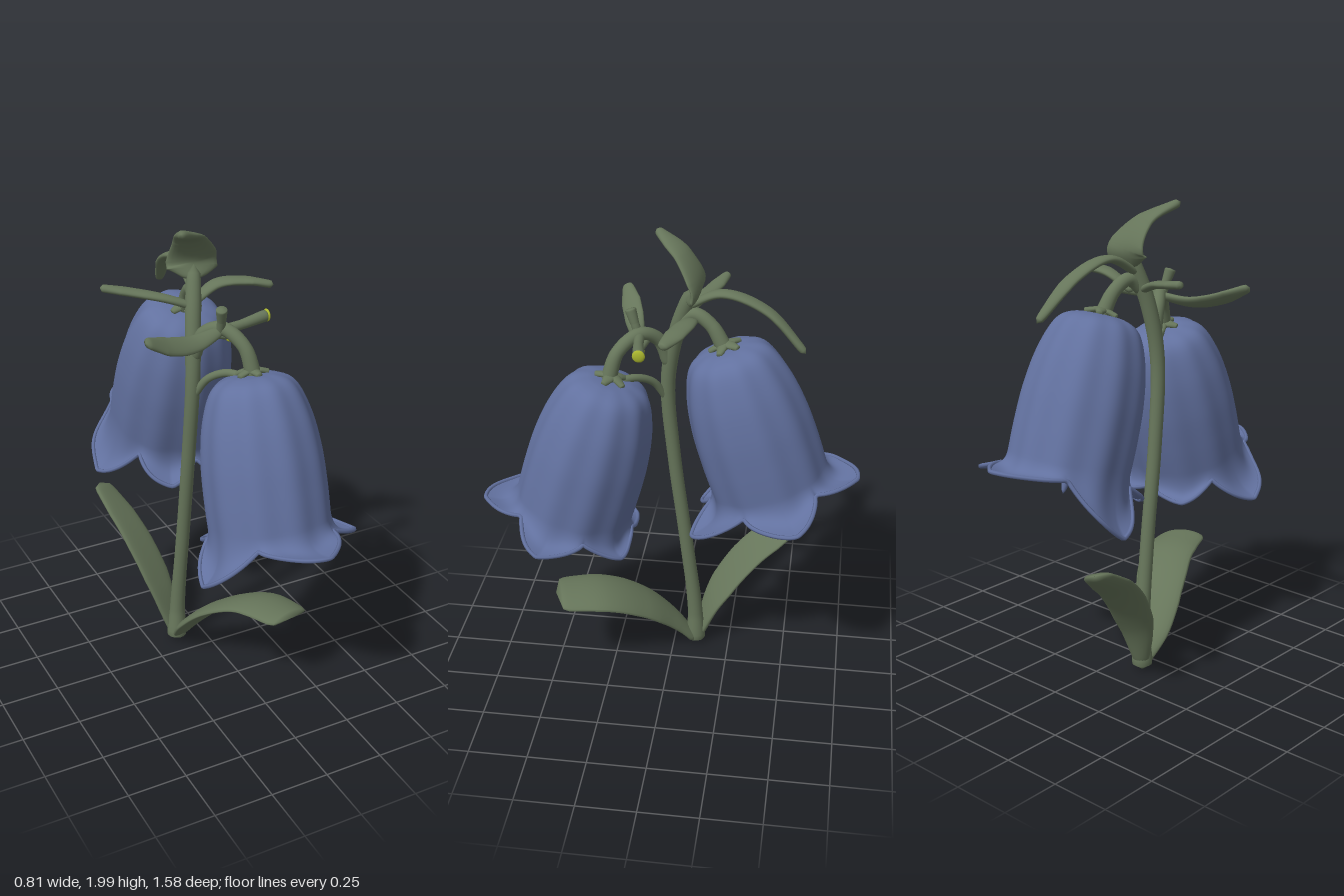
import * as THREE from 'three';
import { ParametricGeometry } from 'three/addons/geometries/ParametricGeometry.js';

const material = (name, color) =>
  new THREE.MeshStandardMaterial({ name, color, side: THREE.DoubleSide });

// Linear lookup in a short list, t from 0 to 1
function sample(list, t) {
  const f = t * (list.length - 1);
  const i = Math.min(Math.floor(f), list.length - 2);
  return THREE.MathUtils.lerp(list[i], list[i + 1], f - i);
}

// Sweeps an oval section along a curve. widths are half-widths along the path;
// thickness is a half-thickness, or 0 for a round section; cup lifts the edges.
function sweep(name, mat, points, widths, { thickness = 0, side = [1, 0, 0], cup = 0 } = {}) {
  const curve = new THREE.CatmullRomCurve3(points.map(p => new THREE.Vector3(...p)));
  const sideDir = new THREE.Vector3(...side);
  const S = new THREE.Vector3(), N = new THREE.Vector3();
  const geometry = new ParametricGeometry((u, v, out) => {
    const T = curve.getTangent(v);
    S.copy(sideDir).addScaledVector(T, -sideDir.dot(T)).normalize();
    N.crossVectors(T, S);
    const end = Math.max(0.02, Math.sqrt(Math.max(0, 1 - Math.pow(Math.abs(2 * v - 1), 30))));
    const w = sample(widths, v) * end;
    const h = thickness ? Math.min(w, thickness * end) : w;
    const a = u * Math.PI * 2;
    out.copy(curve.getPoint(v))
      .addScaledVector(S, w * Math.cos(a))
      .addScaledVector(N, h * Math.sin(a) + cup * w * Math.cos(a) ** 2);
  }, 20, 40);
  const mesh = new THREE.Mesh(geometry, mat);
  mesh.name = name;
  return mesh;
}

// Bell hanging down its own -y; tips are the lobe ends in model coordinates
function bell(name, blue, green, position, tilt, tips) {
  const group = new THREE.Group();
  group.name = name;
  group.position.set(...position);
  group.rotation.x = tilt;
  group.updateMatrix();
  const toLocal = group.matrix.clone().invert();
  const turn = Math.PI * 2;
  const lobes = tips.map(t => {
    const p = new THREE.Vector3(...t).applyMatrix4(toLocal);
    return { angle: (Math.atan2(p.x, p.z) + turn) % turn, r: Math.hypot(p.x, p.z), s: -p.y };
  }).sort((a, b) => a.angle - b.angle);
  // Nearest lobe and how close the angle is to its tip (1) or to a notch (0)
  const lobeAt = angle => {
    for (let i = 0; i < lobes.length; i++) {
      const a = lobes[i], b = lobes[(i + 1) % lobes.length];
      const span = (b.angle - a.angle + turn) % turn;
      const t = (angle - a.angle + 2 * turn) % turn / span;
      if (t <= 1) {
        const d = Math.abs(1 - 2 * t);
        return [t < 0.5 ? a : b, 0.5 * (d + Math.sin(d * Math.PI / 2))];
      }
    }
    return [lobes[0], 1];
  };
  const profile = new THREE.SplineCurve([
    [0.004, 0], [0.1, 0.006], [0.17, 0.05], [0.217, 0.17], [0.242, 0.32], [0.249, 0.47], [0.248, 0.6],
  ].map(p => new THREE.Vector2(...p)));
  const split = 0.7;
  const surface = (u, v, out) => {
    const angle = (1 - u) * turn;
    const [lobe, near] = lobeAt(angle);
    const p = profile.getPoint(Math.min(1, v / split));
    const k = Math.max(0, (v - split) / (1 - split));
    const r = p.x * (1 + 0.018 * Math.cos(10 * angle)) + k * k * (0.01 + (lobe.r - 0.258) * near);
    const s = p.y + k * (0.05 + (lobe.s - 0.65) * near) + 0.03 * Math.sin(k * Math.PI) * near;
    return out.set(r * Math.sin(angle), -s, r * Math.cos(angle));
  };
  const cup = new THREE.Mesh(new ParametricGeometry(surface, 140, 44), blue);
  cup.name = 'bellPetals';

  // Rolled rim along the edge of the lobes
  const edge = Array.from({ length: 120 }, (_, i) => surface(i / 120, 1, new THREE.Vector3()));
  const rim = new THREE.Mesh(
    new THREE.TubeGeometry(new THREE.CatmullRomCurve3(edge, true), 240, 0.009, 6, true), blue);
  rim.name = 'petalRim';

  // Pistil inside the bell
  const pistil = sweep('pistil', blue, [[0, -0.02, 0], [0, -0.4, 0], [0, -0.73, 0]], [0.02, 0.05, 0.045, 0.008]);
  group.add(cup, rim, pistil);

  // Small calyx leaves on the crown
  for (let i = 0; i < 5; i++) {
    const a = i * turn / 5, x = Math.sin(a), z = Math.cos(a);
    group.add(sweep('sepal', green,
      [[0, 0.02, 0], [x * 0.035, 0.012, z * 0.035], [x * 0.07, 0, z * 0.07]],
      [0.025, 0.022, 0.012], { thickness: 0.012, side: [z, 0, -x] }));
  }
  return group;
}

export function createModel() {
  const model = new THREE.Group();
  model.name = 'bellFlower';
  const blue = material('petalBlue', 0x62719f);
  const green = material('leafGreen', 0x66755a);
  const yellow = material('budYellow', 0xa9b52e);

  // Main stem with thickened foot
  model.add(sweep('stem', green, [
    [-0.13, 0.008, -0.1], [-0.125, 0.2, -0.095], [-0.115, 0.6, -0.05], [-0.11, 1.0, 0],
    [-0.1, 1.35, 0.025], [-0.08, 1.58, -0.01], [-0.04, 1.8, -0.08],
  ], [0.052, 0.035, 0.03, 0.029, 0.029, 0.03, 0.032, 0.033, 0.03]));

  // Two flowers
  model.add(bell('frontBell', blue, green, [0.055, 1.43, 0.235], -0.28, [
    [0.11, 0.865, 0.78], [0.395, 0.77, 0.5], [-0.285, 0.67, 0.47], [0.24, 0.69, 0.18], [-0.12, 0.69, 0.17],
  ]));
  model.add(bell('backBell', blue, green, [-0.015, 1.565, -0.22], 0.32, [
    [0.04, 1.035, -0.78], [0.35, 0.93, -0.55], [-0.345, 0.765, -0.45], [0.17, 0.78, -0.11], [-0.13, 0.785, -0.12],
  ]));

  // Flower stalks
  model.add(sweep('frontStalk', green, [
    [-0.09, 1.44, 0.02], [-0.07, 1.56, 0.06], [-0.02, 1.6, 0.13], [0.035, 1.54, 0.21], [0.06, 1.41, 0.25],
  ], [0.026, 0.028, 0.028, 0.028, 0.034], { side: [1, 0, -0.4] }));
  model.add(sweep('backStalk', green, [
    [-0.06, 1.64, -0.03], [-0.045, 1.69, -0.09], [-0.03, 1.65, -0.16], [-0.015, 1.55, -0.22],
  ], [0.026, 0.028, 0.028, 0.034]));
  model.add(sweep('lowerStalk', green, [
    [-0.1, 1.28, 0.03], [-0.06, 1.37, 0.08], [-0.01, 1.41, 0.14], [0.03, 1.415, 0.2],
  ], [0.016, 0.016, 0.016, 0.016]));

  // Broad leaves at the foot
  model.add(sweep('frontFootLeaf', green, [
    [-0.12, 0.03, -0.1], [-0.1, 0.16, 0], [-0.03, 0.29, 0.12], [0.06, 0.385, 0.28], [0.13, 0.405, 0.49],
  ], [0.035, 0.075, 0.105, 0.12, 0.125, 0.11], { thickness: 0.02, side: [1, -0.12, -0.3], cup: -0.12 }));
  model.add(sweep('backFootLeaf', green, [
    [-0.135, 0.04, -0.11], [-0.17, 0.25, -0.19], [-0.225, 0.46, -0.34], [-0.29, 0.63, -0.56],
  ], [0.03, 0.06, 0.085, 0.09, 0.085, 0.055], { thickness: 0.02, side: [1, -0.4, -0.4], cup: -0.1 }));

  // Leaf crowning the stem
  model.add(sweep('crownLeaf', green, [
    [-0.045, 1.74, -0.07], [-0.04, 1.81, -0.1], [-0.08, 1.92, -0.04], [-0.17, 1.992, 0.08],
  ], [0.03, 0.11, 0.105, 0.075, 0.05, 0.015], { thickness: 0.018, side: [1, -0.15, 0.1] }));

  // Narrow upper leaves
  const narrow = [
    ['backUpperLeaf', [[-0.06, 1.71, -0.05], [-0.04, 1.785, -0.2], [-0.02, 1.73, -0.38], [0.02, 1.575, -0.54]], [1, 0, 0], 0.036],
    ['rightUpperLeaf', [[-0.06, 1.64, -0.03], [-0.17, 1.68, -0.075], [-0.29, 1.705, -0.14], [-0.4, 1.725, -0.19]], [-0.4, 0, 1], 0.032],
    ['leftUpperLeaf', [[-0.05, 1.64, -0.07], [0.06, 1.7, -0.08], [0.17, 1.705, -0.05], [0.28, 1.685, 0]], [-0.2, 0, -1], 0.04],
    ['frontUpperLeaf', [[-0.03, 1.59, 0.13], [-0.16, 1.575, 0.165], [-0.28, 1.6, 0.2], [-0.4, 1.655, 0.24]], [0.2, -0.7, 1], 0.045],
  ];
  for (const [name, path, side, w] of narrow)
    model.add(sweep(name, green, path, [w * 0.5, w * 0.8, w, w, w * 0.5], { thickness: 0.016, side }));

  // Bud shoots with yellow ends
  model.add(sweep('budShoot', green,
    [[-0.04, 1.59, 0.13], [0.07, 1.595, 0.12], [0.195, 1.605, 0.1]], [0.022, 0.02, 0.025], { side: [0, 0, 1] }));
  model.add(sweep('shortShoot', green,
    [[-0.03, 1.58, 0.13], [-0.035, 1.64, 0.15], [-0.045, 1.7, 0.17]], [0.018, 0.018, 0.024]));
  model.add(sweep('lowerShoot', green,
    [[-0.05, 1.57, 0.1], [0, 1.56, 0.115], [0.03, 1.555, 0.12]], [0.016, 0.016, 0.014], { side: [0, 0, 1] }));
  for (const [center, size] of [[[0.195, 1.605, 0.1], [0.01, 0.026, 0.026]], [[0.025, 1.545, 0.12], [0.024, 0.013, 0.018]]]) {
    const bud = new THREE.Mesh(new THREE.SphereGeometry(1, 16, 12), yellow);
    bud.name = 'yellowBud';
    bud.scale.set(...size);
    bud.position.set(...center);
    model.add(bud);
  }

  return model;
}
